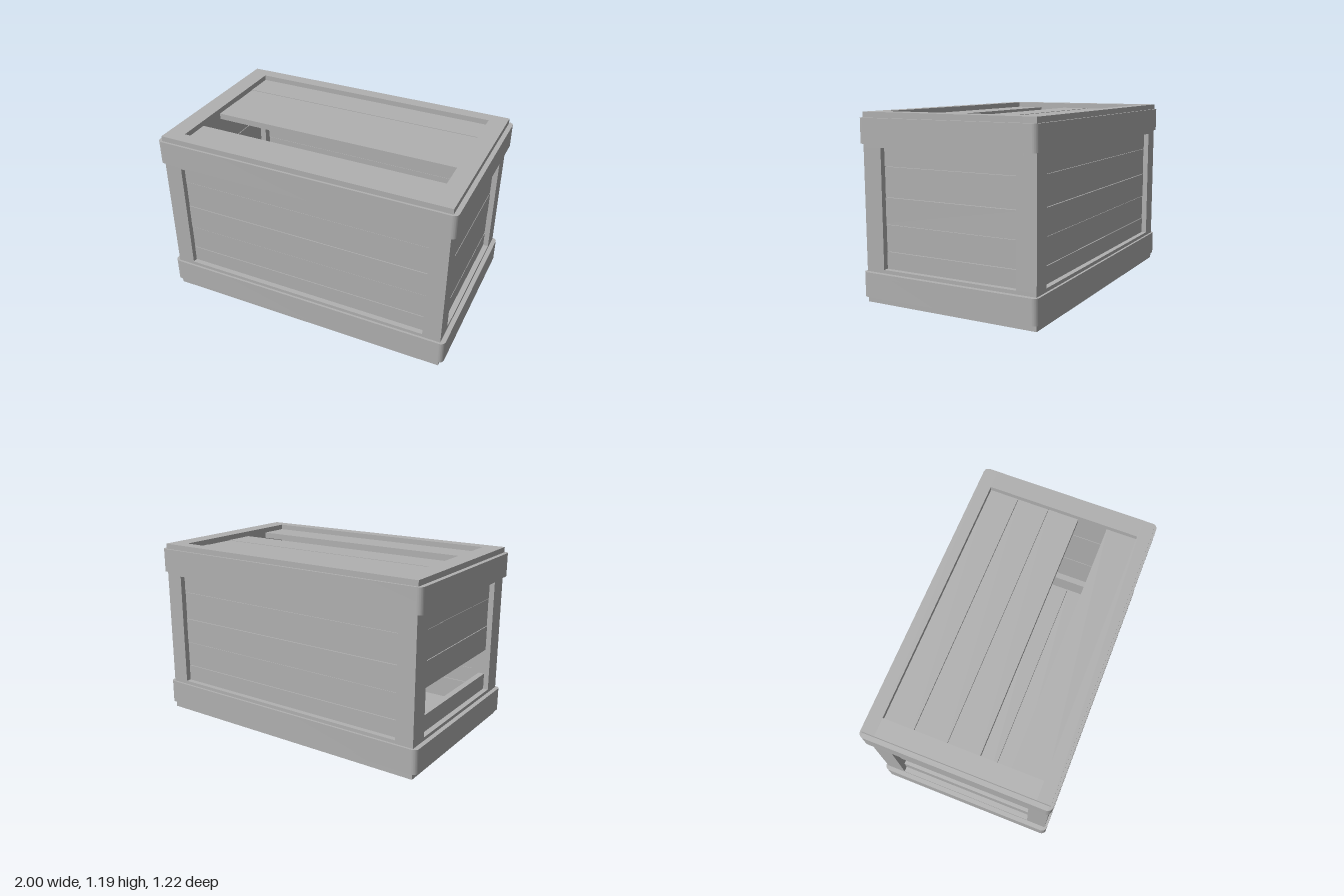
import * as THREE from 'three';
import { toCreasedNormals } from 'three/addons/utils/BufferGeometryUtils.js';

const grey = new THREE.MeshStandardMaterial({ color: 0xb0b0b0 });
grey.name = 'crateGrey';

const H = 1.19, X = 0.97, Z = 0.595; // body height and half sizes
const IX = 0.85, IZ = 0.465, TZ = 0.51; // half sizes of the panel openings
const Y0 = 0.22, Y1 = 0.975; // side opening, bottom and top
const RECESS = 0.035, THICK = 0.04;

// Box given by its two opposite corners
function slab(parent, name, x0, x1, y0, y1, z0, z1) {
  const mesh = new THREE.Mesh(new THREE.BoxGeometry(x1 - x0, y1 - y0, z1 - z0), grey);
  mesh.position.set((x0 + x1) / 2, (y0 + y1) / 2, (z0 + z1) / 2);
  mesh.name = name;
  parent.add(mesh);
}

function roundedRect(target, w, d, r) {
  target.moveTo(-w + r, -d);
  target.lineTo(w - r, -d);
  target.absarc(w - r, -d + r, r, -Math.PI / 2, 0);
  target.lineTo(w, d - r);
  target.absarc(w - r, d - r, r, 0, Math.PI / 2);
  target.lineTo(-w + r, d);
  target.absarc(-w + r, d - r, r, Math.PI / 2, Math.PI);
  target.lineTo(-w, -d + r);
  target.absarc(-w + r, -d + r, r, Math.PI, Math.PI * 1.5);
  return target;
}

// Band that wraps the body, with rounded upright corners
function band(parent, name, y0, y1) {
  const shape = roundedRect(new THREE.Shape(), 1, 0.61, 0.035);
  const w = X - 0.01, d = Z - 0.01;
  shape.holes.push(new THREE.Path([[-w, -d], [-w, d], [w, d], [w, -d]].map(p => new THREE.Vector2(...p))));
  const geo = new THREE.ExtrudeGeometry(shape, { depth: y1 - y0, bevelEnabled: false, curveSegments: 6 });
  geo.rotateX(-Math.PI / 2);
  const mesh = new THREE.Mesh(toCreasedNormals(geo, 0.6), grey);
  mesh.position.y = y0;
  mesh.name = name;
  parent.add(mesh);
}

// Calls place(from, to, index) for each plank between successive edges
function planks(edges, missing, place) {
  for (let i = 0; i < edges.length - 1; i++) {
    if (i !== missing) place(edges[i] + 0.0015, edges[i + 1] - 0.0015, (i % 2) * 0.002);
  }
}

export function createModel() {
  const crate = new THREE.Group();
  crate.name = 'crate';

  // Frame: four posts and rails around the top and bottom
  const frame = new THREE.Group();
  frame.name = 'frame';
  crate.add(frame);
  for (const s of [-1, 1]) {
    const [x0, x1] = s > 0 ? [IX, X] : [-X, -IX];
    const [z0, z1] = s > 0 ? [TZ, Z] : [-Z, -TZ];
    const [p0, p1] = s > 0 ? [IZ, Z] : [-Z, -IZ];
    for (const [y0, y1] of [[0, Y0], [Y1, H]]) {
      slab(frame, 'longRail', -X, X, y0, y1, z0, z1);
      slab(frame, 'shortRail', x0, x1, y0, y1, -TZ, TZ);
    }
    slab(frame, 'post', -X, -IX, Y0, Y1, p0, p1);
    slab(frame, 'post', IX, X, Y0, Y1, p0, p1);
  }

  // Bands
  band(crate, 'lowerBand', 0.04, 0.198);
  band(crate, 'upperBand', 0.998, 1.155);

  // Recessed planks, with one missing on the right side and one on the top
  const rows = [0.19, 0.33, 0.5, 0.67, 0.86, 1.0];
  const columns = [-0.53, -0.315, -0.1, 0.11, 0.305, 0.53];
  for (const s of [-1, 1]) {
    const wall = new THREE.Group();
    wall.name = s > 0 ? 'frontPlanks' : 'backPlanks';
    planks(rows, -1, (a, b, j) => {
      const z = s * (Z - RECESS - THICK / 2 - j);
      slab(wall, 'plank', -IX - 0.03, IX + 0.03, a, b, z - THICK / 2, z + THICK / 2);
    });
    const side = new THREE.Group();
    side.name = s > 0 ? 'leftPlanks' : 'rightPlanks';
    planks(rows, s < 0 ? 1 : -1, (a, b, j) => {
      const x = s * (X - RECESS - THICK / 2 - j);
      slab(side, 'plank', x - THICK / 2, x + THICK / 2, a, b, -IZ - 0.03, IZ + 0.03);
    });
    const lid = new THREE.Group();
    lid.name = s > 0 ? 'topPlanks' : 'floorPlanks';
    planks(columns, s > 0 ? 3 : -1, (a, b, j) => {
      const y = H / 2 + s * (H / 2 - RECESS - THICK / 2 - j);
      slab(lid, 'plank', -IX - 0.03, IX + 0.03, y - THICK / 2, y + THICK / 2, a, b);
    });
    crate.add(wall, side, lid);
  }
  return crate;
}
